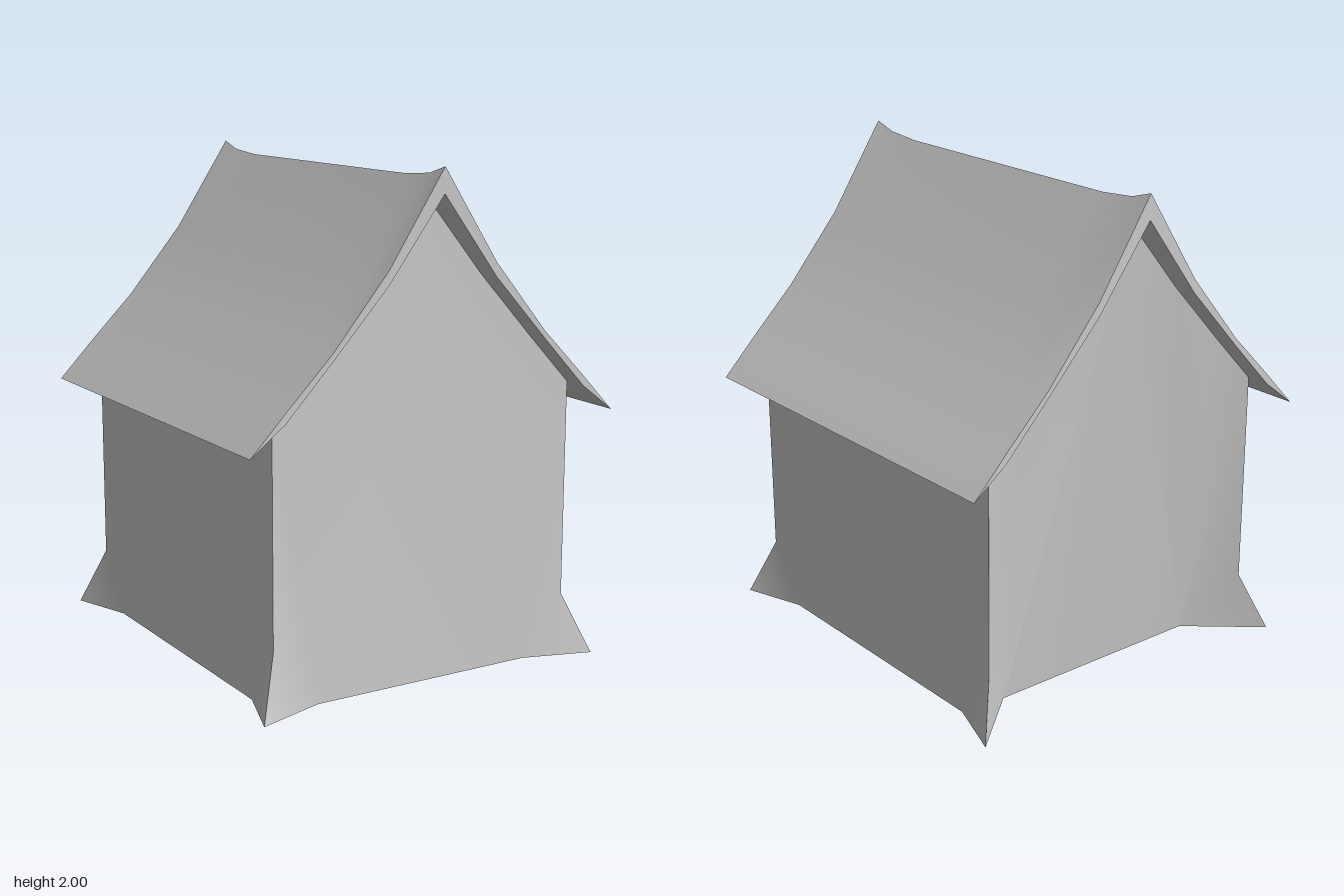
import * as THREE from 'three';
import { toCreasedNormals } from 'three/addons/utils/BufferGeometryUtils.js';

// Mesh from polygons, each drawn as a fan around its first corner
function polyMesh(name, polys, material) {
  const pos = [];
  for (const p of polys) {
    for (let i = 1; i < p.length - 1; i++) pos.push(...p[0], ...p[i], ...p[i + 1]);
  }
  const geo = new THREE.BufferGeometry();
  geo.setAttribute('position', new THREE.Float32BufferAttribute(pos, 3));
  const mesh = new THREE.Mesh(toCreasedNormals(geo, 0.65), material);
  mesh.name = name;
  return mesh;
}

// Mirror polygons along an axis (0 = x, 2 = z), keeping them facing outward
const mirror = (polys, axis) => polys.map((p) =>
  p.map((v) => v.map((c, i) => (i === axis ? -c : c))).reverse());

// Reversing moves the fan centre to the end, so bring it back to the front
const mirrorFans = (polys, axis) => mirror(polys, axis).map((p) => [p[p.length - 1], ...p.slice(0, -1)]);

const X = 0.67, Z = 0.75;             // wall planes
const FX = 0.76, FZ = 0.84;           // flared foot corners
const FLARE_Y = 0.24, EAVE_Y = 1.12;
const BX = 0.48, BZ = 0.58;           // where the flare begins along the base
const BACK_BASE = 0.6;                // back wall is drawn in at its foot

// Front-facing gable wall whose base edge lies at z = base
function gable(base) {
  const right = [[BX, 0, base], [FX, 0, FZ], [X, FLARE_Y, Z], [X, EAVE_Y, Z],
    [0.48, 1.32, Z], [0.24, 1.58, Z], [0, 1.87, Z]];
  const middle = [[-BX, 0, base], [BX, 0, base], [0, 1.87, Z]];
  return [right, ...mirrorFans([right], 0), middle];
}

function sideWalls() {
  const upF = [X, EAVE_Y, Z], upB = [X, EAVE_Y, -Z];
  const baseF = [X, 0, BZ], baseB = [X, 0, -BZ];
  const side = [
    [baseB, [FX, 0, -FZ], [X, FLARE_Y, -Z], upB, upF],
    [baseF, baseB, upF, [X, FLARE_Y, Z], [FX, 0, FZ]],
  ];
  return [...side, ...mirrorFans(side, 0)];
}

function floorPolygon() {
  const ring = [[X, BZ], [FX, FZ], [BX, Z], [-BX, Z], [-FX, FZ], [-X, BZ],
    [-X, -BZ], [-FX, -FZ], [-BX, -BACK_BASE], [BX, -BACK_BASE], [FX, -FZ], [X, -BZ], [X, BZ]];
  return [[[0, 0, 0], ...ring.map(([x, z]) => [x, 0, z])]];
}

// Curved roof shell with a ridge that lifts at both ends
function roofPolygons() {
  const top = [[0, 2], [0.24, 1.635], [0.475, 1.355], [0.67, 1.16], [0.815, 1.01]];
  const under = [[0, 1.9], [0.24, 1.58], [0.48, 1.32], [0.67, 1.12], [0.815, 1.01]];
  const stations = [[-0.85, 0], [-0.75, 0.03], [-0.59, 0.043], [0.59, 0.043], [0.75, 0.03], [0.85, 0]];
  const at = (profile, i, [z, sag]) => [profile[i][0], profile[i][1] - (i === 0 ? sag : 0), z];
  const half = [];
  for (let i = 0; i < 4; i++) {
    for (let k = 0; k < stations.length - 1; k++) {
      const a = stations[k], b = stations[k + 1];
      half.push([at(top, i, a), at(top, i, b), at(top, i + 1, b), at(top, i + 1, a)]);
      half.push([at(under, i, a), at(under, i + 1, a), at(under, i + 1, b), at(under, i, b)]);
    }
    // Gable-end edge of the roof
    const end = stations[5];
    const edge = [at(top, i, end), at(under, i, end), at(under, i + 1, end), at(top, i + 1, end)];
    half.push(edge, ...mirrorFans([edge], 2));
  }
  return [...half, ...mirrorFans(half, 0)];
}

export function createModel() {
  const material = new THREE.MeshStandardMaterial({ color: 0xcccccc });
  const model = new THREE.Group();
  model.name = 'house';
  const walls = [...gable(Z), ...mirrorFans(gable(BACK_BASE), 2), ...sideWalls()];
  model.add(polyMesh('walls', walls, material));
  model.add(polyMesh('floor', floorPolygon(), material));
  model.add(polyMesh('roof', roofPolygons(), material));
  return model;
}
